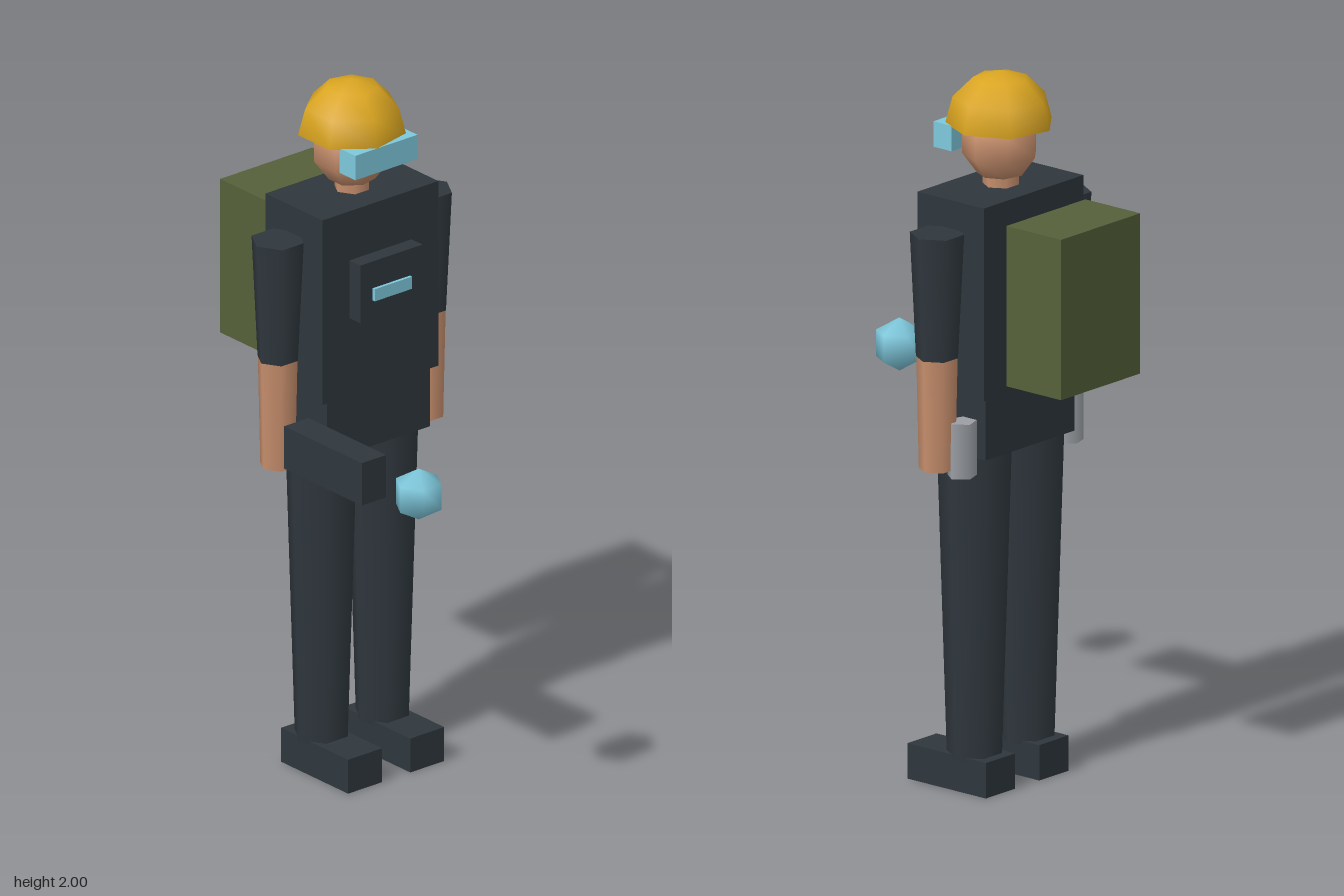
import * as THREE from 'three';

const mat = (name, color) => {
  const m = new THREE.MeshStandardMaterial({ color });
  m.name = name;
  return m;
};

export function createModel() {
  const dark = mat('dark cloth', 0x2f373d);
  const skin = mat('skin', 0xc68e6c);
  const gold = mat('helmet gold', 0xdaa520);
  const cyan = mat('pale cyan', 0x7ec8dc);
  const olive = mat('olive canvas', 0x556039);
  const grey = mat('grey metal', 0x9a9ea3);

  const model = new THREE.Group();
  model.name = 'worker';
  const Z = -0.145; // depth of the body's axis

  const add = (name, geometry, material, x, y, z) => {
    const mesh = new THREE.Mesh(geometry, material);
    mesh.name = name;
    mesh.position.set(x, y, z);
    model.add(mesh);
    return mesh;
  };
  // Box given by its limits on each axis
  const box = (name, material, [x0, x1], [y0, y1], [z0, z1]) =>
    add(name, new THREE.BoxGeometry(x1 - x0, y1 - y0, z1 - z0), material,
      (x0 + x1) / 2, (y0 + y1) / 2, (z0 + z1) / 2);
  // Tapered upright cylinder with one corner pointing to +x
  const limb = (name, material, rTop, rBottom, y0, y1, sides, x, z = Z) =>
    add(name, new THREE.CylinderGeometry(rTop, rBottom, y1 - y0, sides).rotateY(Math.PI / 2),
      material, x, (y0 + y1) / 2, z);

  // Trunk
  box('torso', dark, [-0.205, 0.205], [1.135, 1.68], [-0.263, -0.025]);
  box('hips', dark, [-0.183, 0.183], [0.96, 1.14], [-0.25, -0.033]);
  box('chestPanel', dark, [-0.11, 0.11], [1.365, 1.535], [-0.03, 0.021]);
  box('chestLight', cyan, [-0.066, 0.066], [1.42, 1.456], [0.021, 0.03]);
  box('backpack', olive, [-0.163, 0.163], [1.177, 1.63], [-0.503, -0.307]);

  // Head, visor and helmet
  limb('neck', skin, 0.05, 0.05, 1.66, 1.75, 6, 0);
  add('head', new THREE.SphereGeometry(0.11, 7, 5).rotateY(Math.PI), skin, 0, 1.80, Z);
  box('visor', cyan, [-0.11, 0.11], [1.78, 1.852], [-0.065, 0]);
  add('helmet', new THREE.SphereGeometry(0.15, 7, 3, 0, Math.PI * 2, 0, Math.PI / 2).rotateY(Math.PI),
    gold, 0, 1.85, Z);
  add('helmetUnderside', new THREE.CircleGeometry(0.15, 7).rotateX(Math.PI / 2), gold, 0, 1.85, Z);

  // Arms, legs, boots and hip canisters
  for (const [side, s] of [['left', 1], ['right', -1]]) {
    limb(side + 'UpperArm', dark, 0.075, 0.058, 1.25, 1.6, 6, s * 0.262);
    limb(side + 'Forearm', skin, 0.057, 0.05, 0.935, 1.25, 6, s * 0.262);
    limb(side + 'Leg', dark, 0.105, 0.076, 0.09, 1.03, 6, s * 0.108);
    box(side + 'Boot', dark, [s * 0.11 - 0.06, s * 0.11 + 0.06], [0, 0.1], [-0.24, 0.041]);
    limb(side + 'Canister', grey, 0.042, 0.042, 0.915, 1.07, 5, s * 0.22, -0.197);
  }

  // Hand tool with a floating orb in front
  box('tool', dark, [-0.305, -0.219], [0.962, 1.087], [-0.067, 0.258]);
  add('orb', new THREE.SphereGeometry(0.075, 6, 3), cyan, -0.262, 1.047, 0.445);

  return model;
}
